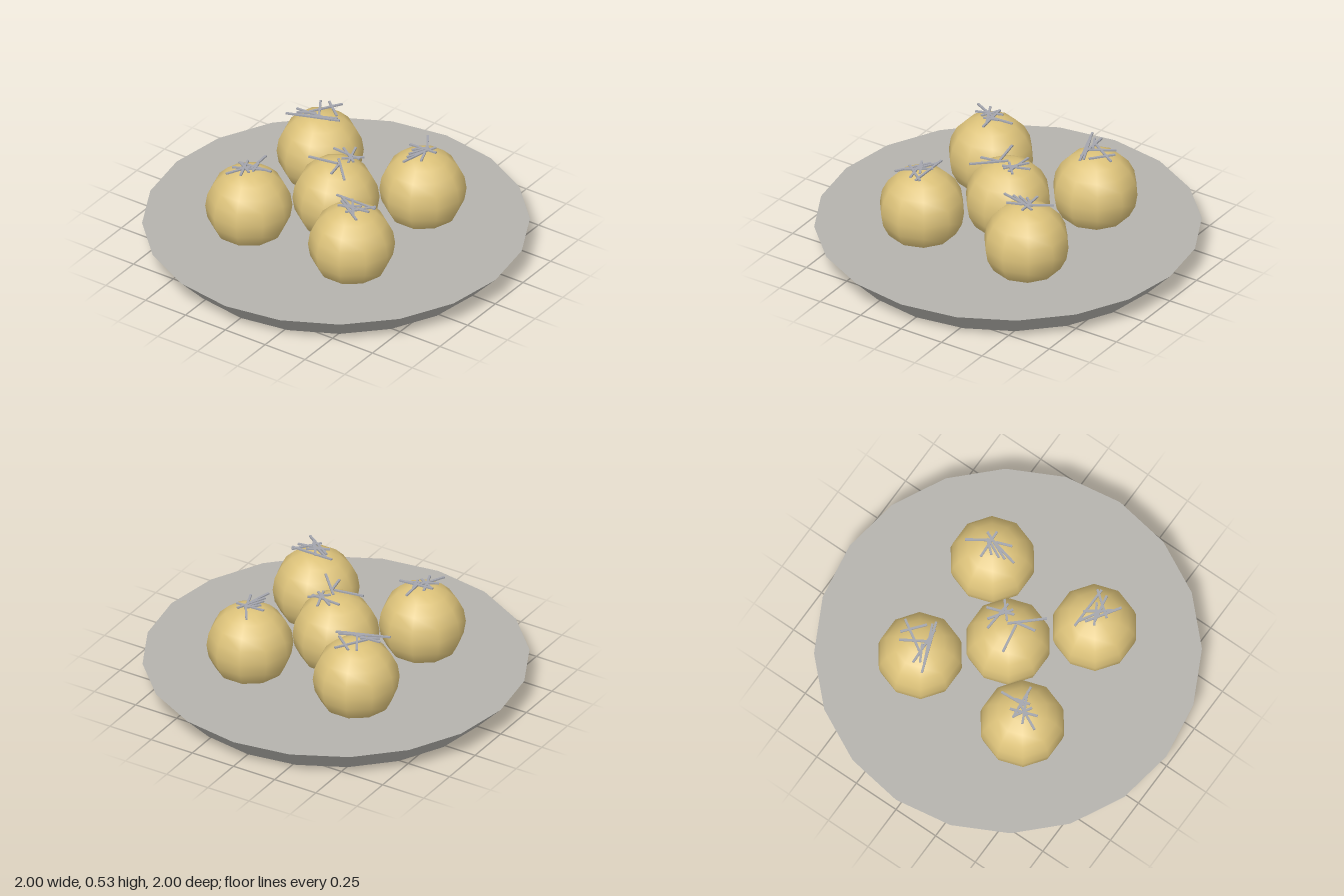
import * as THREE from 'three';

const mat = (name, color) => {
  const m = new THREE.MeshStandardMaterial({ color });
  m.name = name;
  return m;
};

export function createModel() {
  const plateGrey = mat('plateGrey', 0xb4b2ad);
  const dough = mat('dough', 0xdcc27a);
  const shredGrey = mat('shredGrey', 0xa3a5ad);

  const model = new THREE.Group();
  model.name = 'plateOfBalls';

  // Shallow flared plate
  const plate = new THREE.Mesh(new THREE.CylinderGeometry(1, 0.86, 0.145, 20), plateGrey);
  plate.name = 'plate';
  plate.position.y = 0.0725;
  model.add(plate);

  // Each ball: centre x, z and its shreds as x1, z1, x2, z2 in hundredths around the centre
  const balls = [
    { name: 'backRightBall', x: -0.325, z: -0.325, shreds: [
      [-14, 11, 13, 1], [-6, -9, 2, 4], [5, -13, -5, 3], [-2, -11, 9, -2], [-12, 4, 9, 3], [-9, 9, 11, 0], [-10, 7, -1, 2]] },
    { name: 'backLeftBall', x: 0.32, z: -0.325, shreds: [
      [-6, -13, 2, -1], [-2, 15, 2, -2], [-9, -1, 7, -2], [4, -6, -3, 10], [2, 1, 5, 9], [-5, 3, 1, -4], [-4, 7, 0, -1]] },
    { name: 'middleBall', x: 0, z: 0, shreds: [
      [-7, -8, 10, -7], [2, -15, 7, -1], [11, -10, 2, -2], [1, -1, 15, 14], [4, 2, 6, 13], [-13, 6, 3, 3], [-3, -11, 9, -3]] },
    { name: 'frontRightBall', x: -0.325, z: 0.32, shreds: [
      [1, -14, 2, 1], [12, -3, -7, -1], [-6, 12, 1, -2], [-7, 5, 9, -3], [-4, -5, 1, 9], [-6, -1, 3, 4], [2, -6, 4, 2]] },
    { name: 'frontLeftBall', x: 0.32, z: 0.32, shreds: [
      [-12, -4, 12, -4], [-7, -1, 10, 10], [-4, 3, 11, 0], [1, 7, 11, -6], [-9, -4, 3, 3], [-3, -5, 6, 7], [-6, 4, 5, -2]] },
  ];

  const ballGeo = new THREE.SphereGeometry(0.225, 10, 10);
  for (const { name, x, z, shreds } of balls) {
    const group = new THREE.Group();
    group.name = name;
    group.position.set(x, 0.29, z);

    const ball = new THREE.Mesh(ballGeo, dough);
    ball.name = 'ball';
    group.add(ball);

    // Loose flat shreds lying on the crown
    for (const [x1, z1, x2, z2] of shreds) {
      const dx = (x2 - x1) / 100, dz = (z2 - z1) / 100;
      const shred = new THREE.Mesh(new THREE.BoxGeometry(Math.hypot(dx, dz), 0.008, 0.012), shredGrey);
      shred.name = 'shred';
      shred.position.set((x1 + x2) / 200, 0.232, (z1 + z2) / 200);
      shred.rotation.y = -Math.atan2(dz, dx);
      group.add(shred);
    }
    model.add(group);
  }
  return model;
}
